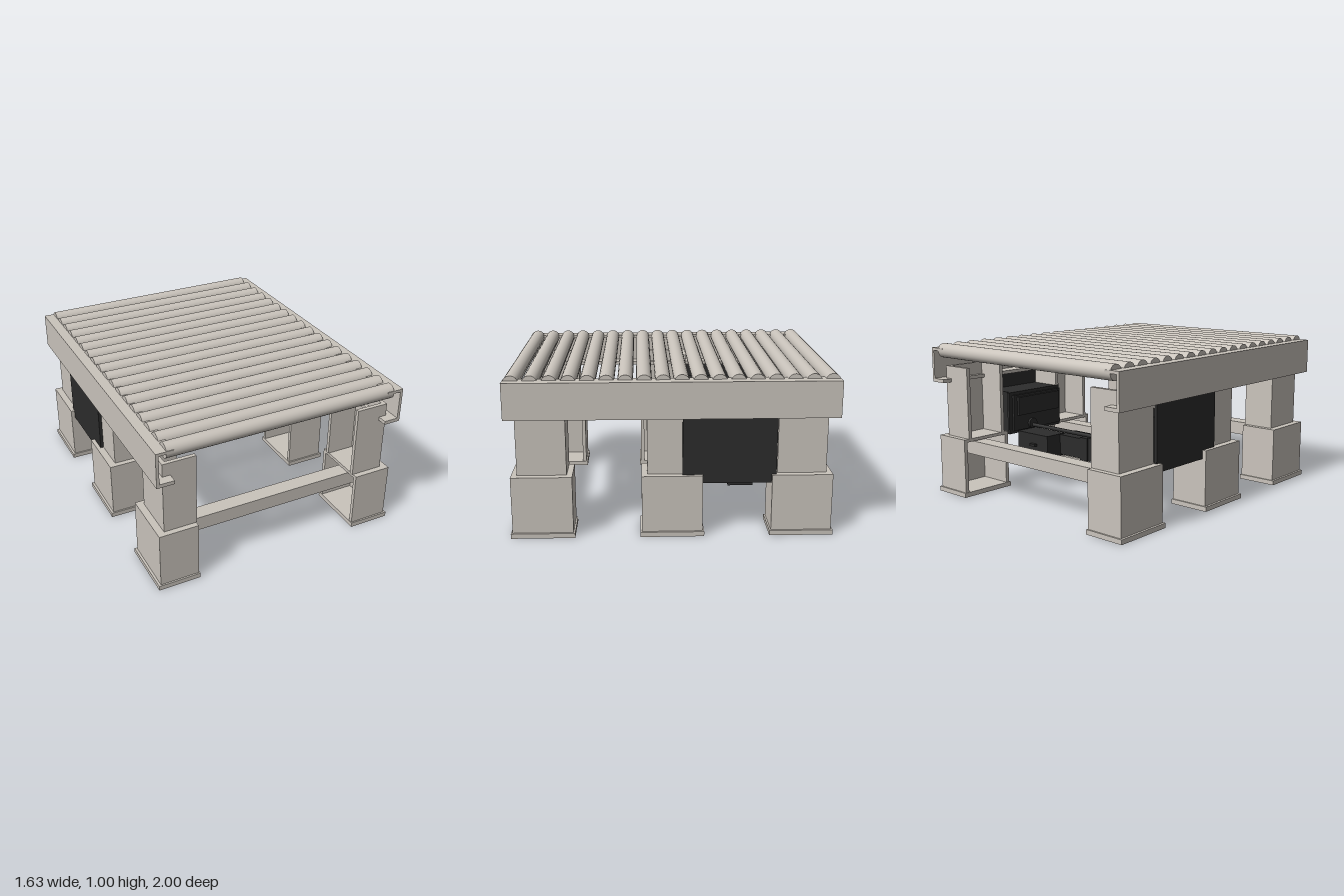
import * as THREE from 'three';

const steel = new THREE.MeshStandardMaterial({ color: 0xcac4bc });
steel.name = 'warm grey steel';
const black = new THREE.MeshStandardMaterial({ color: 0x2c2c2c });
black.name = 'black drive';

// Box given by its min and max on each axis
function box(parent, name, mat, [x0, x1], [y0, y1], [z0, z1]) {
  const m = new THREE.Mesh(new THREE.BoxGeometry(x1 - x0, y1 - y0, z1 - z0), mat);
  m.position.set((x0 + x1) / 2, (y0 + y1) / 2, (z0 + z1) / 2);
  m.name = name;
  parent.add(m);
  return m;
}

// Cylinder lying along x
function rod(parent, name, mat, r, x0, x1, y, z, sides = 32) {
  const m = new THREE.Mesh(new THREE.CylinderGeometry(r, r, x1 - x0, sides), mat);
  m.rotation.z = Math.PI / 2;
  m.position.set((x0 + x1) / 2, y, z);
  m.name = name;
  parent.add(m);
  return m;
}

// Upright channel, open toward the middle of the table
function channel(parent, name, s, xi, xo, [y0, y1], [z0, z1]) {
  const t = 0.025;
  const side = (a, b) => (s > 0 ? [a, b] : [-b, -a]);
  box(parent, name + 'Web', steel, side(xo - t, xo), [y0, y1], [z0, z1]);
  box(parent, name + 'Flange', steel, side(xi, xo - t), [y0, y1], [z0, z0 + t]);
  box(parent, name + 'Flange', steel, side(xi, xo - t), [y0, y1], [z1 - t, z1]);
}

export function createModel() {
  const model = new THREE.Group();
  model.name = 'rollerConveyor';

  // Rollers
  const rollers = new THREE.Group();
  rollers.name = 'rollers';
  model.add(rollers);
  for (let i = 0; i < 18; i++) {
    rod(rollers, 'roller', steel, 0.047, -0.75, 0.75, 0.953, -0.953 + i * 0.1121);
  }

  for (const s of [1, -1]) {
    const side = (a, b) => (s > 0 ? [a, b] : [-b, -a]);

    // Side rail, a channel facing inward
    const rail = new THREE.Group();
    rail.name = s > 0 ? 'leftRail' : 'rightRail';
    model.add(rail);
    box(rail, 'railWeb', steel, side(0.797, 0.815), [0.745, 0.97], [-1, 1]);
    box(rail, 'railTopFlange', steel, side(0.705, 0.797), [0.952, 0.97], [-1, 1]);
    box(rail, 'railBottomFlange', steel, side(0.705, 0.797), [0.745, 0.768], [-1, 1]);

    // Legs: upper channel, wider lower channel with cap, foot plate
    for (const z of [0.79, 0.003, -0.787]) {
      const leg = new THREE.Group();
      leg.name = 'leg';
      model.add(leg);
      channel(leg, 'upperLeg', s, 0.545, 0.755, [0.385, 0.85], [z - 0.15, z + 0.15]);
      channel(leg, 'lowerLeg', s, 0.55, 0.8, [0.03, 0.365], [z - 0.185, z + 0.185]);
      box(leg, 'lowerLegCap', steel, side(0.55, 0.8), [0.365, 0.385], [z - 0.185, z + 0.185]);
      box(leg, 'footPlate', steel, side(0.545, 0.815), [0, 0.03], [z - 0.195, z + 0.195]);
    }

    // Transfer unit on each side: outer cover, housing, stepped inner plates
    const unit = new THREE.Group();
    unit.name = s > 0 ? 'leftDriveUnit' : 'rightDriveUnit';
    model.add(unit);
    box(unit, 'outerCover', black, side(0.755, 0.775), [0.33, 0.745], [-0.63, -0.06]);
    box(unit, 'housing', black, side(0.56, 0.755), [0.36, 0.645], [-0.57, -0.155]);
    box(unit, 'innerPlate', black, side(0.543, 0.56), [0.36, 0.645], [-0.59, -0.12]);
    box(unit, 'innerStep', black, side(0.527, 0.543), [0.38, 0.625], [-0.56, -0.13]);
    box(unit, 'upperPad', black, side(0.51, 0.527), [0.485, 0.61], [-0.53, -0.15]);
    rod(unit, 'shaftBearing', black, 0.035, ...side(0.51, 0.527), 0.415, -0.4);
  }

  // Cross beams
  for (const z of [0.83, 0, -0.83]) {
    box(model, 'crossBeam', steel, [-0.77, 0.77], [0.27, 0.36], [z - 0.05, z + 0.05]);
  }

  // Drive shaft, motor and gearbox
  const drive = new THREE.Group();
  drive.name = 'drive';
  model.add(drive);
  rod(drive, 'driveShaft', black, 0.013, -0.515, 0.515, 0.402, -0.4, 20);
  box(drive, 'motorEnd', black, [-0.15, 0], [0.225, 0.38], [-0.39, -0.23]);
  box(drive, 'motorFlange', black, [0, 0.065], [0.225, 0.378], [-0.4, -0.22]);
  box(drive, 'motorBody', black, [0.065, 0.26], [0.235, 0.37], [-0.4, -0.24]);
  box(drive, 'gearbox', black, [0.25, 0.535], [0.225, 0.375], [-0.52, -0.36]);
  box(drive, 'terminalNub', black, [0.35, 0.4], [0.295, 0.31], [-0.545, -0.52]);

  return model;
}
